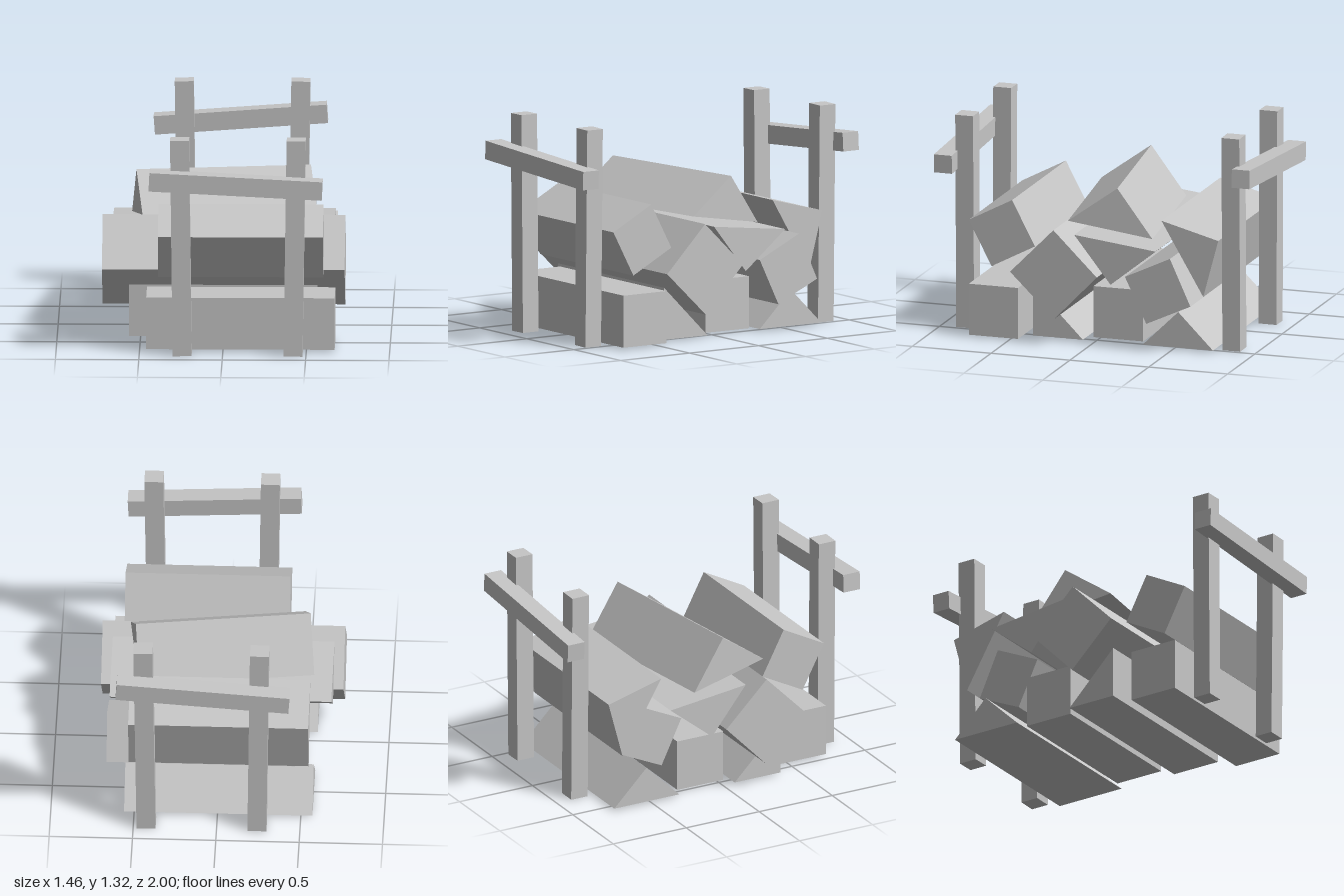
import * as THREE from 'three';

export function createModel() {
  const group = new THREE.Group();
  const wood = new THREE.MeshStandardMaterial({ color: 0xc6c6c6 });
  wood.name = 'pale grey timber';

  const add = (name, geometry) => {
    const mesh = new THREE.Mesh(geometry, wood);
    mesh.name = name;
    group.add(mesh);
    return mesh;
  };

  // A timber running along x; its end profile is a list of [z, y] corners
  const log = (name, x0, x1, profile) => {
    const shape = new THREE.Shape(profile.map(([z, y]) => new THREE.Vector2(-z, y)));
    const geo = new THREE.ExtrudeGeometry(shape, { depth: x1 - x0, bevelEnabled: false });
    geo.rotateY(Math.PI / 2).translate(x0, 0, 0);
    return add(name, geo);
  };

  // Bottom row, front to back
  log('bottomSquareLogFront', -0.46, 0.67, [[0.755, 0.012], [0.443, 0.012], [0.443, 0.328], [0.755, 0.328]]);
  log('bottomSplitLogFront', -0.57, 0.56, [[0.385, 0.012], [0.07, 0.012], [0.385, 0.328]]);
  log('bottomSquareLogBack', -0.5, 0.48, [[0.03, 0.012], [-0.285, 0.012], [-0.285, 0.328], [0.03, 0.328]]);
  log('bottomSplitLogBack', -0.57, 0.56, [[-0.31, 0.015], [-0.755, 0.015], [-0.535, 0.235]]);

  // Tumbled middle logs
  log('largeSquareLog', -0.73, 0.725, [[0.2, 0.72], [0.475, 0.44], [0.195, 0.17], [-0.075, 0.45]]);
  log('tiltedSquareLogFront', -0.39, 0.6, [[0.505, 0.85], [0.78, 0.705], [0.635, 0.43], [0.36, 0.575]]);
  log('tiltedSquareLogBack', -0.46, 0.67, [[-0.235, 0.455], [-0.52, 0.59], [-0.65, 0.305], [-0.37, 0.175]]);
  log('middleSplitLog', -0.67, 0.66, [[0.09, 0.685], [-0.425, 0.625], [-0.14, 0.395]]);
  log('leaningSplitLog', -0.545, 0.535, [[-0.42, 0.785], [-0.78, 0.69], [-0.685, 0.335]]);

  // Top log lies askew
  log('topSplitLog', -0.527, 0.527, [[0.241, 0.74], [-0.275, 0.652], [-0.061, 0.955]]).rotation.y = 0.138;

  // End frames: two slightly splayed posts and a crooked rail
  for (const [end, side, tilt, railY] of [['front', 1, -0.051, 1.062], ['back', -1, 0.072, 1.065]]) {
    for (const [label, x, lean] of [['Right', -0.25, 0.0115], ['Left', 0.432, -0.0145]]) {
      const post = add(end + 'Post' + label, new THREE.BoxGeometry(0.114, 1.32, 0.113));
      post.position.set(x, 0.661, side * 0.844);
      post.rotation.z = lean;
    }
    const rail = add(end + 'Rail', new THREE.BoxGeometry(1.04, 0.113, 0.113));
    rail.position.set(0.08, railY, side * 0.9435);
    rail.rotation.z = tilt;
  }
  return group;
}
